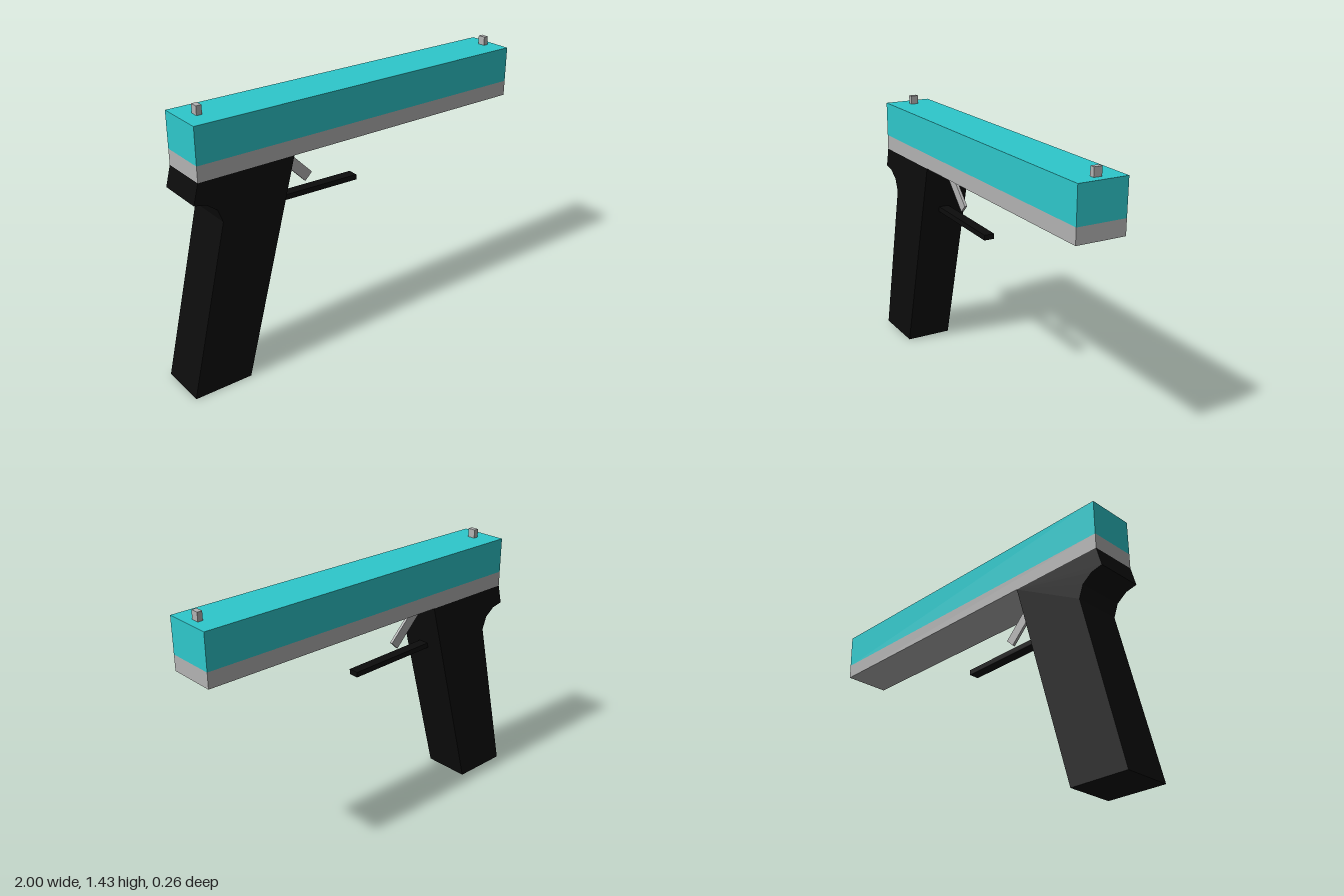
import * as THREE from 'three';

export function createModel() {
  const cyan = new THREE.MeshStandardMaterial({ color: 0x2ec8cc });
  cyan.name = 'cyan';
  const grey = new THREE.MeshStandardMaterial({ color: 0xb3b3b3 });
  grey.name = 'grey';
  const black = new THREE.MeshStandardMaterial({ color: 0x0c0c0c });
  black.name = 'black';

  const group = new THREE.Group();
  const add = (name, geometry, material) => {
    const mesh = new THREE.Mesh(geometry, material);
    mesh.name = name;
    group.add(mesh);
    return mesh;
  };
  // box given by its x and y ranges, centred on z = 0
  const box = (name, x0, x1, y0, y1, depth, material) =>
    add(name, new THREE.BoxGeometry(x1 - x0, y1 - y0, depth), material)
      .position.set((x0 + x1) / 2, (y0 + y1) / 2, 0);
  // side profile extruded across z
  const plate = (name, points, depth, material) => {
    const shape = new THREE.Shape(points.map(([x, y]) => new THREE.Vector2(x, y)));
    const geometry = new THREE.ExtrudeGeometry(shape, { depth, bevelEnabled: false });
    return add(name, geometry.translate(0, 0, -depth / 2), material);
  };

  const width = 0.256;

  // upper body
  box('slide', -0.905, 1, 1.2, 1.385, width, cyan);
  box('frame', -0.905, 1, 1.12, 1.2, width, grey);

  // sights
  box('rearSight', -0.83, -0.802, 1.38, 1.43, 0.042, grey);
  box('frontSight', 0.932, 0.958, 1.38, 1.43, 0.042, grey);

  // slanted grip with a notch at the back
  plate('grip', [
    [-1, 0], [-0.687, 0], [-0.392, 1.12], [-0.905, 1.12], [-0.932, 1.016],
    [-0.87, 1.003], [-0.815, 0.962], [-0.79, 0.895],
  ], width, black);

  // trigger and the bar below it
  plate('trigger', [
    [-0.245, 0.903], [-0.205, 0.943], [-0.38, 1.118], [-0.42, 1.078],
  ], 0.015, grey).position.z = -0.005;
  plate('triggerGuard', [
    [-0.48, 0.85], [0.055, 0.837], [0.055, 0.865], [-0.48, 0.878],
  ], 0.056, black);

  return group;
}
